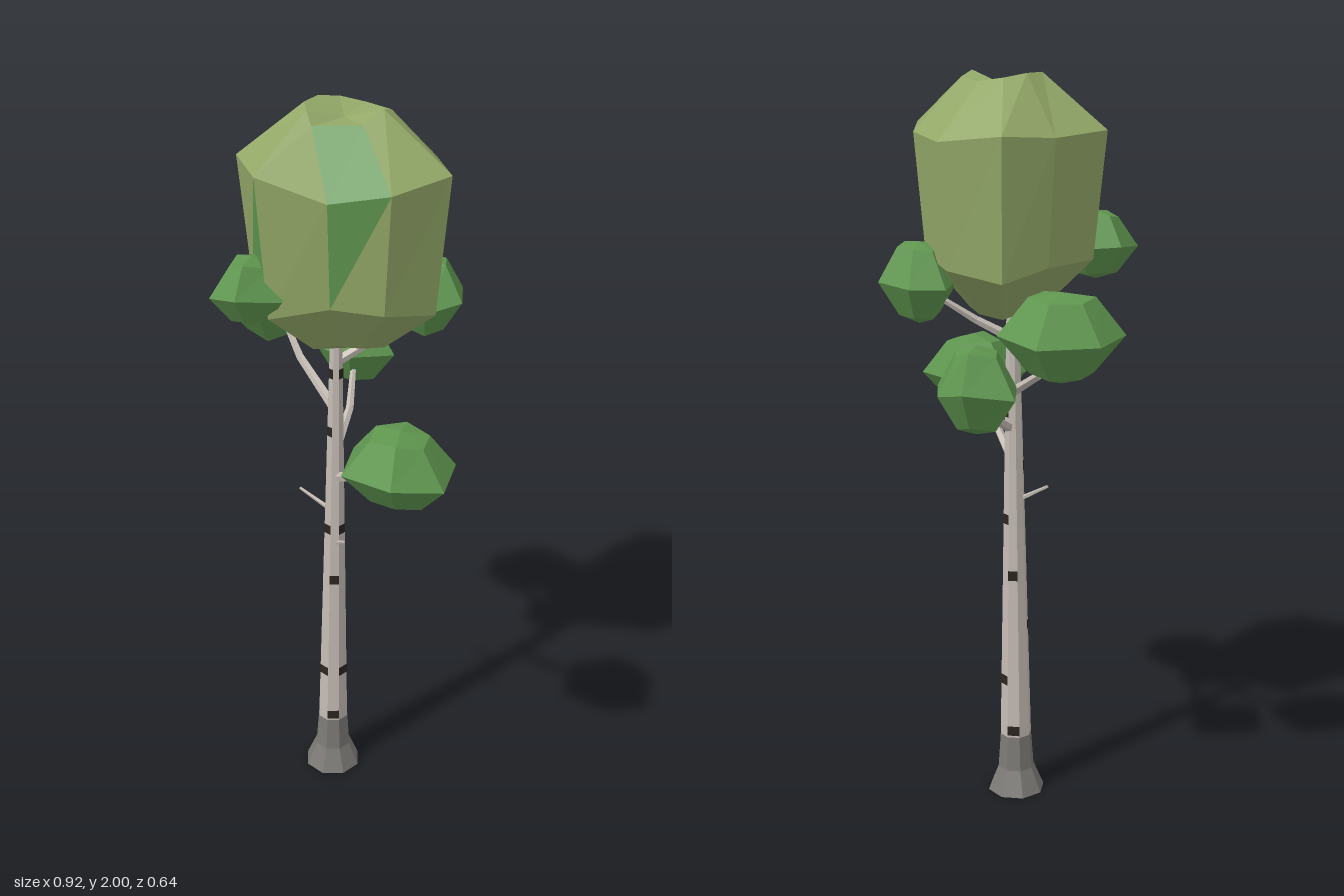
import * as THREE from 'three';

const mat = (color) => new THREE.MeshStandardMaterial({ color, flatShading: true, roughness: 0.9 });
const BARK = mat(0xc4bcb4), BASE = mat(0x7c7a76), MARK = mat(0x2c2520);
const LEAF = mat(0x5f964f), CROWN = mat(0x93a868);
const V = (x, y, z) => new THREE.Vector3(x, y, z);

// Facets joining rings from bottom to top, closed by a centre point at each end.
// Each facet gets material 1 where pick(level, side, half) is true.
function loft(name, rings, bottom, top, materials, pick = () => false) {
  const faces = [[], []];
  const add = (level, i, half, ...pts) =>
    faces[pick(level, i, half) ? 1 : 0].push(...pts);
  const n = rings[0].length, last = rings.length - 1;
  for (let i = 0; i < n; i++) {
    const j = (i + 1) % n;
    add(-1, i, 0, bottom, rings[0][i], rings[0][j]);
    for (let k = 0; k < last; k++) {
      const L = rings[k], H = rings[k + 1];
      add(k, i, 0, L[j], L[i], H[i]);
      add(k, i, 1, L[j], H[i], H[j]);
    }
    add(last, i, 0, top, rings[last][j], rings[last][i]);
  }
  const group = new THREE.Group();
  group.name = name;
  faces.forEach((pts, m) => {
    if (!pts.length) return;
    const geo = new THREE.BufferGeometry().setFromPoints(pts);
    geo.computeVertexNormals();
    const mesh = new THREE.Mesh(geo, materials[m]);
    mesh.name = m ? name + 'GreenFacets' : name + 'Facets';
    group.add(mesh);
  });
  return group;
}

// Tapered round bar between two points
function bar(name, a, b, ra, rb, sides, material) {
  const dir = b.clone().sub(a);
  const geo = new THREE.CylinderGeometry(rb, ra, dir.length(), sides, 1, false, Math.PI / sides);
  const mesh = new THREE.Mesh(geo, material);
  mesh.name = name;
  mesh.position.copy(a).add(b).multiplyScalar(0.5);
  mesh.quaternion.setFromUnitVectors(V(0, 1, 0), dir.normalize());
  return mesh;
}

// Six-sided leaf clump; plan holds the angle jitter and radius of each corner
function clump(name, [x, y, z], rx, h, rz, turn) {
  const ring = (r, dy, wobble) => Array.from({ length: 6 }, (_, i) => {
    const a = i * Math.PI / 3 + turn + 0.12 * Math.sin(i * 2.3 + x * 9);
    const k = r * (1 + 0.07 * Math.sin(i * 1.9 + z * 20));
    return V(x + k * rx * Math.cos(a), y + h * (dy + wobble * Math.sin(i * 2.7 + x * 15)), z + k * rz * Math.sin(a));
  });
  return loft(name, [ring(0.5, -0.8, 0.06), ring(1, 0, 0.1), ring(0.52, 0.85, 0.08)],
    V(x, y - h, z), V(x, y + h, z), [LEAF]);
}

export function createModel() {
  const tree = new THREE.Group();
  tree.name = 'tree';

  // Trunk: flared foot, dark base and long pale stem
  const stem = (y) => V(-0.012 + 0.008 * y, y, 0.018 - 0.004 * y);
  const stemRadius = (y) => 0.044 - 0.022 * (y - 0.17);
  tree.add(bar('trunkFoot', stem(0), stem(0.07), 0.08, 0.051, 8, BASE));
  tree.add(bar('trunkBase', stem(0.07), stem(0.17), 0.051, 0.044, 8, BASE));
  tree.add(bar('trunk', stem(0.17), stem(1.6), 0.044, stemRadius(1.6), 8, BARK));

  // Bark marks, each covering one trunk facet (angles in degrees from the front)
  const marks = [[0.19, 45, 225], [0.34, 0, 90, 180], [0.5, -45, 135], [0.65, 45, 225], [0.81, 0, 90, 180],
    [0.96, -45, 135], [1.11, 0, 180], [1.28, 0, 90, 270]];
  for (const [y, ...angles] of marks) {
    for (const deg of angles) {
      const r = stemRadius(y) + 0.0015;
      const geo = new THREE.CylinderGeometry(r, r, 0.028, 1, 1, true, (deg - 22.5) * Math.PI / 180, Math.PI / 4);
      const mark = new THREE.Mesh(geo, MARK);
      mark.name = 'barkMark';
      mark.position.copy(stem(y));
      tree.add(mark);
    }
  }

  // Branches: bent bars reaching into the clumps
  const branches = [
    [V(0, 0.965, 0.015), V(0.15, 1.04, 0.06), V(0.28, 1.13, 0.1)],
    [V(0, 1.16, 0.01), V(-0.18, 1.25, -0.03), V(-0.29, 1.35, -0.06)],
    [V(0, 1.06, 0.01), V(-0.05, 1.12, -0.09), V(-0.14, 1.21, -0.2)],
    [V(0, 1.31, 0.01), V(0.05, 1.36, -0.07), V(0.1, 1.44, -0.18)],
    [V(0, 1.36, 0.015), V(-0.03, 1.42, 0.1), V(-0.08, 1.53, 0.21)],
  ];
  for (const [a, b, c] of branches) {
    tree.add(bar('branch', a, b, 0.014, 0.011, 5, BARK));
    tree.add(bar('branchTip', b, c, 0.011, 0.007, 5, BARK));
  }
  tree.add(bar('twig', V(-0.02, 0.865, 0.025), V(-0.095, 0.912, 0.06), 0.007, 0.004, 5, BARK));
  tree.add(bar('twig', V(0.005, 0.76, 0.02), V(0.062, 0.8, 0.05), 0.007, 0.004, 5, BARK));

  // Side leaf clumps
  tree.add(clump('rightClump', [-0.315, 1.375, -0.065], 0.147, 0.115, 0.155, 0));
  tree.add(clump('leftClump', [0.315, 1.15, 0.105], 0.145, 0.105, 0.16, 0));
  tree.add(clump('frontClump', [-0.085, 1.55, 0.225], 0.106, 0.09, 0.106, 0));
  tree.add(clump('backRightClump', [-0.165, 1.235, -0.22], 0.125, 0.115, 0.105, -0.15));
  tree.add(clump('backLeftClump', [0.115, 1.465, -0.205], 0.112, 0.108, 0.115, -0.15));

  // Crown: irregular nine-sided barrel with a small dented top
  const plan = [[-0.03, -0.24], [0.14, -0.2], [0.29, -0.09], [0.25, 0.08], [0.12, 0.165],
    [-0.03, 0.262], [-0.2, 0.163], [-0.205, -0.005], [-0.185, -0.155]];
  const rim = [[0, -0.093], [0.1, -0.078], [0.12, -0.03], [0.11, 0.03], [0, 0.097],
    [-0.03, 0.085], [-0.062, 0.06], [-0.077, 0], [-0.06, -0.06]];
  const shoulderY = [1.84, 1.85, 1.86, 1.84, 1.81, 1.865, 1.86, 1.85, 1.86];
  const rimY = [1.98, 1.985, 2, 1.97, 1.96, 1.99, 2, 2, 1.99];
  const scaled = (s, y, wave) => plan.map(([x, z], i) =>
    V(0.025 + (x - 0.025) * s, y + wave * Math.sin(i * 2.2), z * s));
  const crown = [
    scaled(0.38, 1.385, 0.01),
    scaled(0.88, 1.515, 0.025),
    plan.map(([x, z], i) => V(x, shoulderY[i], z)),
    rim.map(([x, z], i) => V(x, rimY[i], z)),
  ];
  const green = (level, i, half) =>
    (level === 2 && i === 3) || (level === 1 && i === 3 && half === 1) || (level === 1 && i === 5 && half === 0);
  tree.add(loft('crown', crown, V(0.03, 1.355, 0), V(0.015, 1.965, 0), [CROWN, LEAF], green));

  return tree;
}
